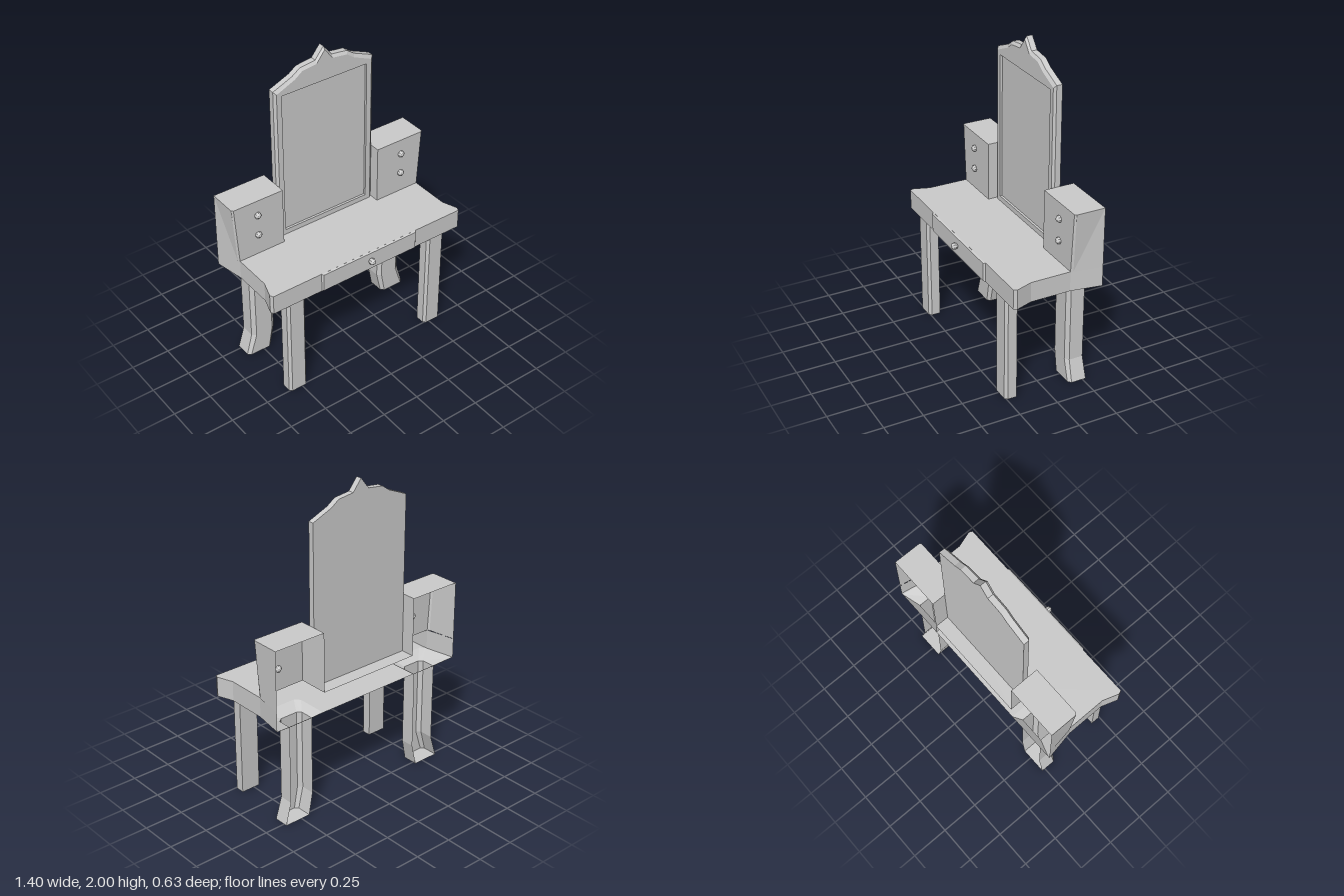
import * as THREE from 'three';

const material = new THREE.MeshStandardMaterial({ color: 0xcccccc, flatShading: true, side: THREE.DoubleSide });

function add(parent, name, geometry) {
  const mesh = new THREE.Mesh(geometry, material);
  mesh.name = name;
  parent.add(mesh);
  return mesh;
}

// Skin over cross-sections (arrays of [x, y, z]); optional fan caps on the first and last one
function loft(loops, { closed = false, capStart = false, capEnd = false } = {}) {
  const out = [];
  for (let k = 0; k < loops.length - 1; k++) {
    const A = loops[k], B = loops[k + 1], n = A.length;
    for (let i = 0; i < (closed ? n : n - 1); i++) {
      const j = (i + 1) % n;
      out.push(...A[i], ...A[j], ...B[j], ...A[i], ...B[j], ...B[i]);
    }
  }
  const first = loops[0], last = loops[loops.length - 1];
  for (let i = 1; i < first.length - 1; i++) {
    if (capStart) out.push(...first[0], ...first[i + 1], ...first[i]);
    if (capEnd) out.push(...last[0], ...last[i], ...last[i + 1]);
  }
  const g = new THREE.BufferGeometry();
  g.setAttribute('position', new THREE.Float32BufferAttribute(out, 3));
  g.computeVertexNormals();
  return g;
}

const atY = (pts, y) => pts.map(([x, z]) => [x, y, z]);
const atZ = (pts, z) => pts.map(([x, y]) => [x, y, z]);
// Completes a left-to-centre outline with its mirror image
const mirrored = (half) => [...half, ...half.filter(p => p[0] !== 0).reverse().map(([x, v]) => [-x, v])];
const shapeOf = (pts) => new THREE.Shape(pts.map(([x, y]) => new THREE.Vector2(x, y)));

const BOTTOM = 0.685, TOP = 0.812;

// Cross-sections of a back leg (left side), open towards the back
const rim = [[0.36, -0.31], [0.36, -0.11], [0.39, -0.08], [0.635, -0.08], [0.66, -0.11], [0.69, -0.31]];
const shaft = [[0.41, -0.268], [0.41, -0.178], [0.435, -0.158], [0.55, -0.158], [0.575, -0.178], [0.575, -0.268]];
const foot = [[0.44, -0.272], [0.44, -0.175], [0.46, -0.157], [0.595, -0.157], [0.615, -0.175], [0.615, -0.272]];

function buildTable(group) {
  const table = new THREE.Group();
  table.name = 'table';
  group.add(table);

  // Waisted side walls and front, open at the back
  const side = [[-0.665, -0.115], [-0.665, 0.14], [-0.7, 0.245], [-0.69, 0.267]];
  const wall = mirrored([[-0.7, -0.31], ...side]);
  add(table, 'tableApron', loft([atY(wall, BOTTOM), atY(wall, TOP)]));

  // Top, cut out under the two drawer cabinets
  const top = mirrored([[-0.35, -0.31], [-0.35, -0.115], ...side]);
  add(table, 'tableTop', new THREE.ShapeGeometry(shapeOf(top.map(([x, z]) => [x, -z])))
    .rotateX(-Math.PI / 2).translate(0, TOP, 0));

  // Underside, notched where the back legs flare into it
  const notch = rim.map(([x, z]) => [-x, z]);
  const under = mirrored([...notch, [-0.7, -0.31], ...side]);
  add(table, 'tableUnderside', new THREE.ShapeGeometry(shapeOf(under))
    .rotateX(Math.PI / 2).translate(0, BOTTOM, 0));

  // Drawer front with slightly tapered edges
  const rect = (w, y0, y1) => [[-w, y0], [w, y0], [w, y1], [-w, y1]];
  add(table, 'drawerFront', loft([
    atZ(rect(0.352, BOTTOM, TOP), 0.266),
    atZ(rect(0.342, BOTTOM + 0.006, TOP - 0.006), 0.277),
  ], { closed: true, capEnd: true }));
  addKnob(table, 'drawerKnob', 0, 0.755, 0.294);
}

function addKnob(parent, name, x, y, z) {
  const knob = add(parent, name, new THREE.SphereGeometry(0.022, 8, 6).rotateX(Math.PI / 2));
  knob.position.set(x, y, z);
}

// Drawer cabinet, front leg and back leg of one side
function buildSide(group, name, sign) {
  const half = new THREE.Group();
  half.name = name;
  half.scale.x = sign;
  group.add(half);

  // Cabinet shell, open at the back, narrowing to the waist of the table
  const low = [[0.35, -0.31], [0.35, -0.115], [0.665, -0.115], [0.672, -0.13], [0.7, -0.31]];
  const high = [[0.35, -0.31], [0.35, -0.115], [0.69, -0.115], [0.7, -0.125], [0.7, -0.31]];
  add(half, 'cabinet', loft([atY(low, TOP), atY(high, 1.19)], { capEnd: true }));
  for (const y of [1.09, 0.95]) addKnob(half, 'cabinetKnob', 0.53, y, -0.113);

  // Front leg with chamfered front corners
  const leg = [[0.46, 0.185], [0.46, 0.243], [0.475, 0.26], [0.572, 0.26], [0.587, 0.243], [0.587, 0.185]];
  add(half, 'frontLeg', loft([atY(leg, 0), atY(leg, BOTTOM)], { closed: true, capStart: true }));

  // Hollow back leg: splayed foot, shaft, and flare under the table
  add(half, 'backLeg', loft([atY(foot, 0), atY(shaft, 0.14), atY(shaft, 0.65)], { capStart: true }));
  add(half, 'backLegFlare', loft([atY(shaft, 0.65), atY(rim, BOTTOM)], { closed: true }));
}

function buildMirror(group) {
  const mirror = new THREE.Group();
  mirror.name = 'mirror';
  group.add(mirror);

  // Crested outline, counter-clockwise from the front
  const crest = [[-0.35, TOP], [0.35, TOP], [0.35, 1.823], [0.217, 1.878], [0.164, 1.915], [0.058, 1.928],
    [0, 2], [-0.058, 1.928], [-0.164, 1.915], [-0.217, 1.878], [-0.35, 1.823]];
  const inner = crest.map(([x, y]) => [x * 0.955, y > 1 ? y - 0.018 : y]);
  add(mirror, 'frameEdge', loft([atZ(crest, -0.22), atZ(crest, -0.183), atZ(inner, -0.17)], { closed: true }));
  add(mirror, 'mirrorBack', new THREE.ShapeGeometry(shapeOf(crest)).rotateY(Math.PI).translate(0, 0, -0.22));

  // Frame face around the recessed glass
  const opening = [[-0.3, 0.845], [0.3, 0.845], [0.3, 1.785], [-0.3, 1.785]];
  const face = shapeOf(inner);
  face.holes.push(shapeOf(opening));
  add(mirror, 'frameFace', new THREE.ShapeGeometry(face).translate(0, 0, -0.17));
  const glass = opening.map(([x, y]) => [x, y]).reverse();
  add(mirror, 'frameRecess', loft([atZ(glass, -0.185), atZ(glass, -0.17)], { closed: true }));
  add(mirror, 'glass', new THREE.ShapeGeometry(shapeOf(opening)).translate(0, 0, -0.185));
}

export function createModel() {
  const group = new THREE.Group();
  group.name = 'dressingTable';
  buildTable(group);
  buildSide(group, 'leftSide', 1);
  buildSide(group, 'rightSide', -1);
  buildMirror(group);
  return group;
}
